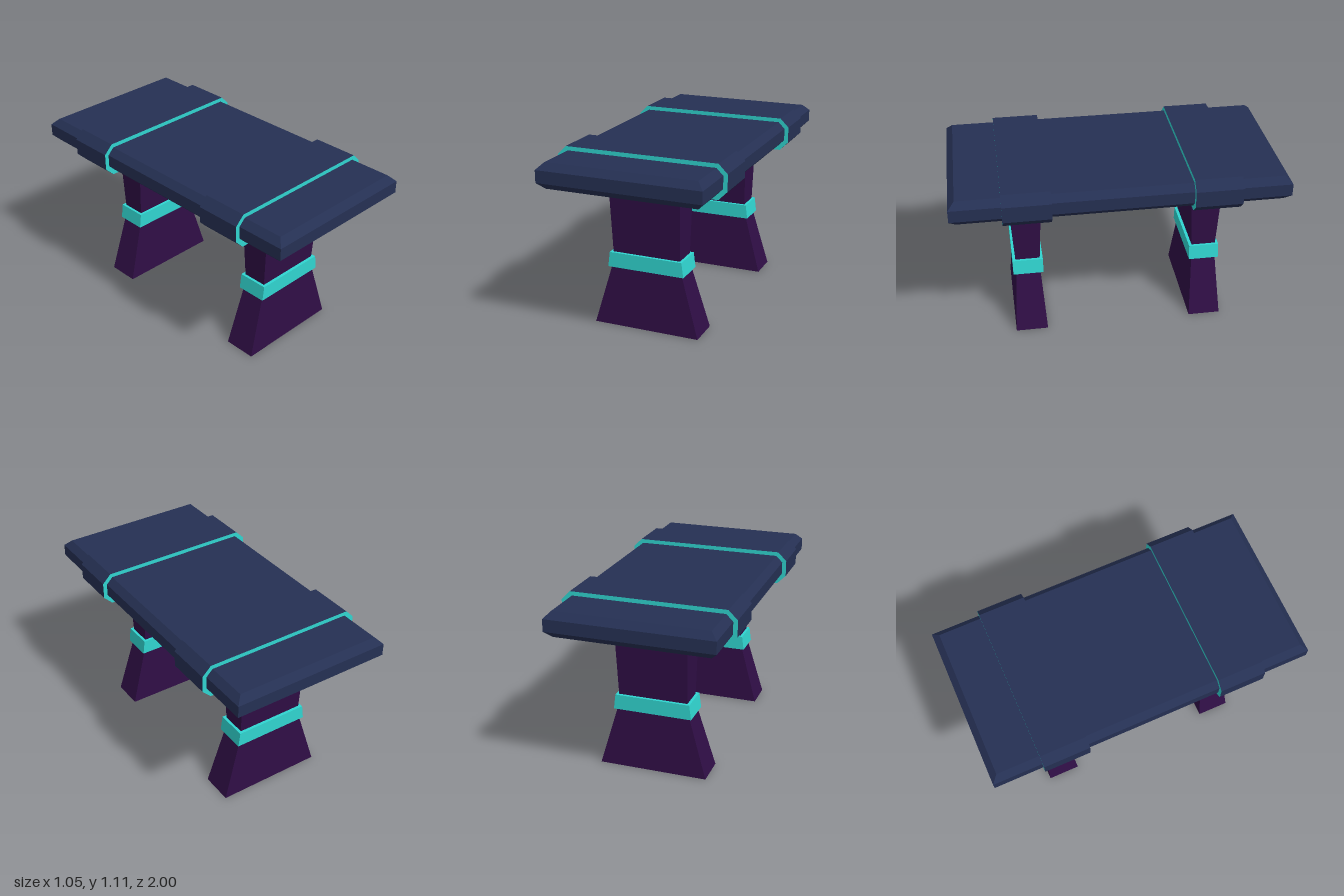
import * as THREE from 'three';

const mat = (name, color) => {
  const m = new THREE.MeshStandardMaterial({ color });
  m.name = name;
  return m;
};

// Solid through rectangular sections [y, halfWidth, halfDepth], listed bottom to top
function loft(sections) {
  const pos = [];
  const rings = sections.map(([y, w, d]) => [[-w, y, d], [w, y, d], [w, y, -d], [-w, y, -d]]);
  const quad = (a, b, c, d) => pos.push(...a, ...b, ...c, ...a, ...c, ...d);
  for (let i = 0; i < rings.length - 1; i++) {
    for (let k = 0; k < 4; k++) {
      const n = (k + 1) % 4;
      quad(rings[i][k], rings[i][n], rings[i + 1][n], rings[i + 1][k]);
    }
  }
  const [a, b, c, d] = rings[0];
  quad(d, c, b, a);
  quad(...rings[rings.length - 1]);
  const geo = new THREE.BufferGeometry();
  geo.setAttribute('position', new THREE.Float32BufferAttribute(pos, 3));
  geo.computeVertexNormals();
  return geo;
}

// Rectangle with cut corners, centred on the origin
function cutRectangle(w, h, c) {
  return new THREE.Shape([
    [w - c, -h], [w, -h + c], [w, h - c], [w - c, h],
    [-w + c, h], [-w, h - c], [-w, -h + c], [-w + c, -h],
  ].map(([x, y]) => new THREE.Vector2(x, y)));
}

export function createModel() {
  const group = new THREE.Group();
  group.name = 'bench';
  const navy = mat('navy', 0x253053);
  const purple = mat('dark purple', 0x2f0e45);
  const teal = mat('teal', 0x30d5d0);

  const add = (name, geo, material, y = 0, z = 0) => {
    const mesh = new THREE.Mesh(geo, material);
    mesh.name = name;
    mesh.position.set(0, y, z);
    group.add(mesh);
  };

  // Bevelled seat slab
  add('seat', loft([[0.925, 0.46, 0.96], [0.965, 0.5, 1], [1.04, 0.5, 1], [1.08, 0.46, 0.96]]), navy);

  // Sleeve around the seat: teal end faces, navy outside
  const sleeve = new THREE.ExtrudeGeometry(cutRectangle(0.526, 0.104, 0.054), { depth: 0.284, bevelEnabled: false });
  sleeve.translate(0, 0, -0.142);

  // Waisted leg and the collar around its waist
  const leg = loft([[0, 0.335, 0.1], [0.42, 0.213, 0.073], [0.91, 0.225, 0.1]]);
  const collar = loft([[0.375, 0.243, 0.094], [0.468, 0.231, 0.094]]);

  for (const [side, s] of [['front', 1], ['back', -1]]) {
    const z = s * 0.558;
    add(side + 'Sleeve', sleeve, [teal, navy], 1.001, z);
    add(side + 'Leg', leg, purple, 0, z);
    add(side + 'Collar', collar, teal, 0, z);
  }
  return group;
}
